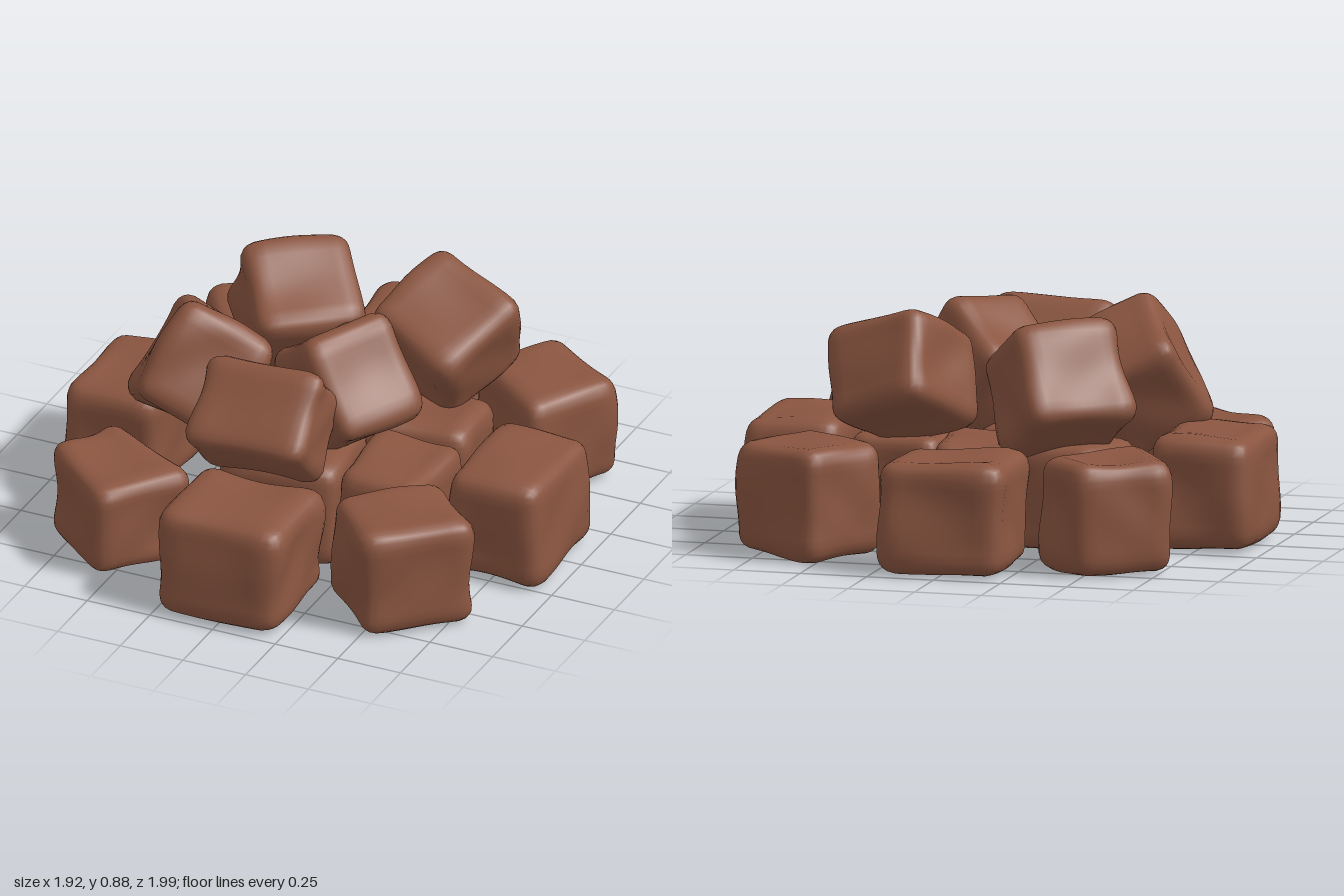
import * as THREE from 'three';
import { mergeVertices } from 'three/addons/utils/BufferGeometryUtils.js';

// Unit cube with soft edges, slightly hollowed faces and gentle lumps
function lumpyCube(seed) {
  const g = new THREE.BoxGeometry(1, 1, 1, 14, 14, 14);
  g.deleteAttribute('uv');
  g.deleteAttribute('normal');
  const cube = mergeVertices(g, 1e-4);
  const p = cube.attributes.position;
  const r = 0.15, inner = new THREE.Vector3(), v = new THREE.Vector3(), d = new THREE.Vector3();
  const lim = 0.5 - r;
  for (let i = 0; i < p.count; i++) {
    v.fromBufferAttribute(p, i);
    inner.copy(v).clampScalar(-lim, lim);
    d.copy(v).sub(inner).normalize();
    v.copy(inner).addScaledVector(d, r);
    const lump = Math.sin(v.x * 5.1 + seed * 1.7) * Math.sin(v.y * 4.3 + seed * 2.9) +
      Math.sin(v.z * 5.7 + seed * 4.1) * Math.sin(v.x * 4.1 - v.y * 5 + seed) +
      0.4 * Math.sin(v.y * 9 + v.z * 8 + seed * 3.3);
    const spread = Math.min(v.length() / 0.7, 1);
    v.addScaledVector(d, lump * 0.016 + (spread - 0.85) * 0.05);
    p.setXYZ(i, v.x, v.y, v.z);
  }
  return cube;
}

// Ground stone: footprint corners run back-left, back-right, front-right, front-left
function groundStone(corners, height, grow, taperX, taperZ, seed) {
  const g = lumpyCube(seed), p = g.attributes.position;
  const cx = corners.reduce((s, c) => s + c[0], 0) / 4;
  const cz = corners.reduce((s, c) => s + c[1], 0) / 4;
  for (let i = 0; i < p.count; i++) {
    const u = p.getX(i) + 0.5, w = p.getZ(i) + 0.5, t = p.getY(i) + 0.5;
    const weights = [(1 - u) * (1 - w), u * (1 - w), u * w, (1 - u) * w];
    let x = 0, z = 0;
    weights.forEach((k, j) => { x += k * corners[j][0]; z += k * corners[j][1]; });
    p.setXYZ(i, cx + (x - cx) * grow * (1 - taperX * t),
      Math.max(0.004, 0.01 + t * (height - 0.01)), cz + (z - cz) * grow * (1 - taperZ * t));
  }
  g.computeVertexNormals();
  return g;
}

// Leaning stone: its outer face points along (dx, dz), raised by the lean angle
function leaningStone(pos, size, dx, dz, lean, roll, seed) {
  const g = lumpyCube(seed);
  const l = Math.hypot(dx, dz), c = Math.cos(lean);
  const out = new THREE.Vector3(dx / l * c, Math.sin(lean), dz / l * c);
  const side = new THREE.Vector3(dz / l, 0, -dx / l);
  const up = new THREE.Vector3().crossVectors(out, side);
  g.scale(...size);
  g.rotateZ(roll);
  g.applyMatrix4(new THREE.Matrix4().makeBasis(side, up, out));
  g.translate(...pos);
  g.computeVertexNormals();
  return g;
}

const rect = (x0, x1, z0, z1) => [[x0, z0], [x1, z0], [x1, z1], [x0, z1]];

export function createModel() {
  const group = new THREE.Group();
  const brown = new THREE.MeshStandardMaterial({ color: 0x8a5540 });
  brown.name = 'brownStone';
  const add = (name, geometry) => {
    const mesh = new THREE.Mesh(geometry, brown);
    mesh.name = name;
    group.add(mesh);
  };

  // Outer ring of eight: footprint, height, growth for rounded corners, tapers
  const outer = [
    [rect(-0.25, 0.24, 0.51, 0.99), 0.415, 0.99, 0.01, 0.1],
    [rect(-0.24, 0.23, -0.985, -0.53), 0.415, 0.99, 0.01, 0.1],
    [rect(0.57, 0.955, -0.22, 0.275), 0.415, 0.99, 0.05, 0.01],
    [rect(-0.955, -0.58, -0.225, 0.265), 0.415, 0.99, 0.01, 0.02],
    [[[0.58, 0.3], [0.83, 0.56], [0.53, 0.83], [0.28, 0.57]], 0.415, 1.08, 0.03, 0.03],
    [[[-0.71, 0.33], [-0.3, 0.54], [-0.53, 0.84], [-0.83, 0.58]], 0.36, 1.08, 0.03, 0.03],
    [[[0.51, -0.84], [0.84, -0.64], [0.66, -0.31], [0.32, -0.56]], 0.415, 1.08, 0.03, 0.03],
    [[[-0.51, -0.85], [-0.31, -0.67], [-0.59, -0.31], [-0.79, -0.66]], 0.415, 1.08, 0.03, 0.03],
  ];
  outer.forEach((o, i) => add('outerStone' + (i + 1), groundStone(...o, i + 1)));

  // Inner ring of five
  const inner = [
    [[-0.12, -0.49], [0.14, -0.49], [0.22, -0.06], [-0.14, -0.06]],
    [[0.18, -0.37], [0.5, -0.33], [0.51, -0.03], [0.12, 0.03]],
    [[0.2, 0.01], [0.54, 0.0], [0.53, 0.42], [0.22, 0.4]],
    [[-0.25, 0.02], [0.16, -0.01], [0.21, 0.42], [-0.24, 0.46]],
    [[-0.42, -0.42], [-0.08, -0.36], [-0.1, -0.02], [-0.52, -0.08]],
  ];
  inner.forEach((c, i) => add('innerStone' + (i + 1), groundStone(c, 0.4, 1.04, 0.03, 0.03, i + 11)));

  // Top ring of five, leaning on the pile
  const top = [
    [[-0.05, 0.585, 0.455], [0.46, 0.35, 0.3], 0, 1, 0.78, 0.03],
    [[-0.43, 0.57, 0.18], [0.4, 0.41, 0.38], -0.95, 0.25, 0.5, 0.52],
    [[0.12, 0.595, 0.1], [0.36, 0.4, 0.36], 0.8, 0.6, 0.6, 0.13],
    [[0.3, 0.625, -0.35], [0.41, 0.36, 0.4], 0.42, -0.9, 0.42, 0.36],
    [[-0.28, 0.6, -0.32], [0.41, 0.4, 0.39], -0.62, -0.78, 0.55, 0],
  ];
  top.forEach((t, i) => add('topStone' + (i + 1), leaningStone(...t, i + 21)));
  return group;
}
